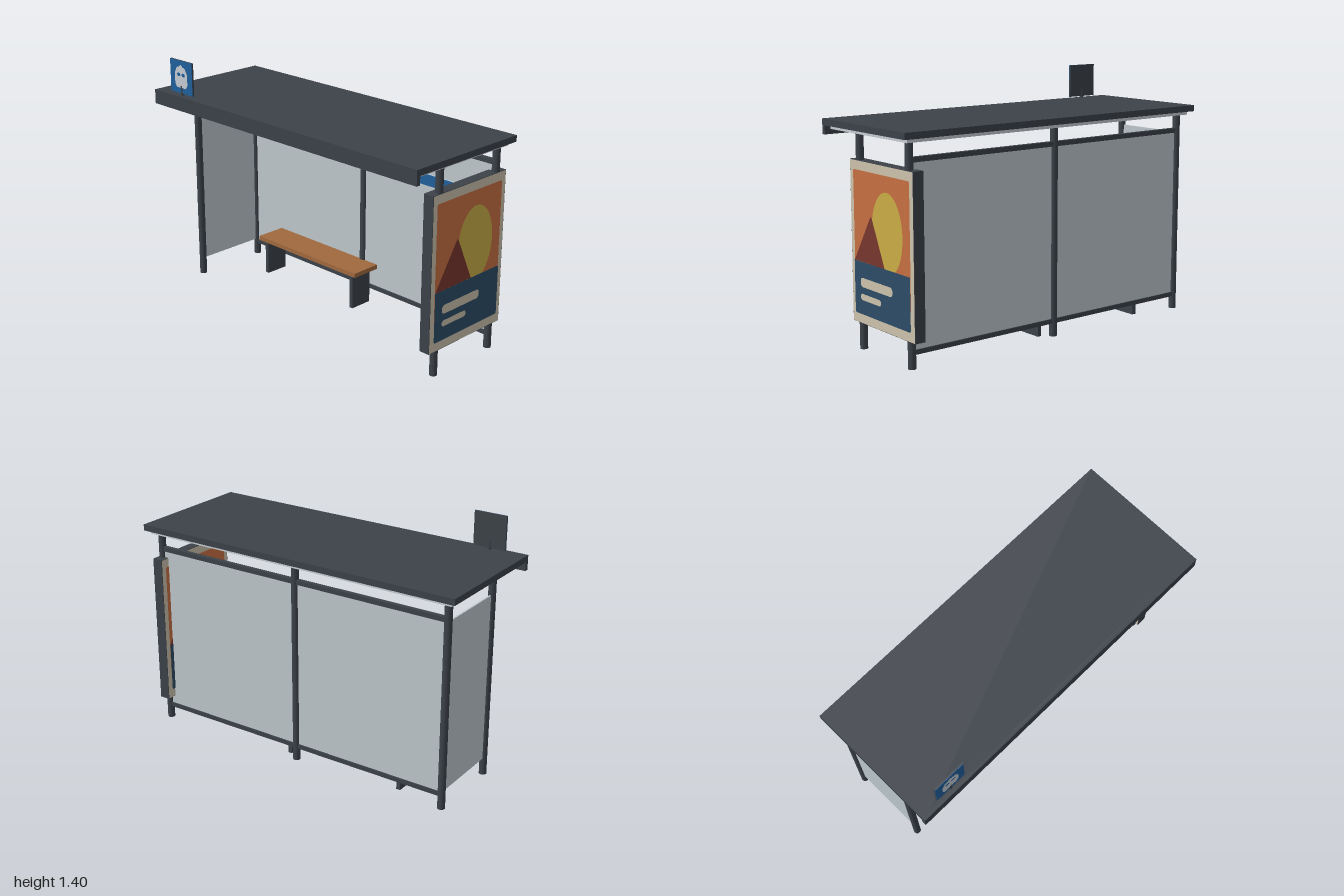
import * as THREE from 'three';

const mat = (name, color) => {
  const m = new THREE.MeshStandardMaterial({ color });
  m.name = name;
  return m;
};

export function createModel() {
  const root = new THREE.Group();
  root.name = 'busShelter';

  const frame = mat('charcoal metal', 0x3c4249);
  const glass = mat('pale glass', 0xbdc7cc);
  const soffitMat = mat('soffit grey', 0xc6ccd3);
  const wood = mat('bench wood', 0xa0693e);
  const blue = mat('sign blue', 0x205f9c);
  const cream = mat('poster cream', 0xcdc3ad);
  const orange = mat('poster orange', 0xc77142);
  const yellow = mat('poster yellow', 0xcaad46);
  const maroon = mat('poster maroon', 0x78362d);
  const navy = mat('poster navy', 0x2c4c67);

  const add = (parent, name, geometry, material) => {
    const mesh = new THREE.Mesh(geometry, material);
    mesh.name = name;
    parent.add(mesh);
    return mesh;
  };
  // Box given by its lower and upper limits on each axis
  const box = (parent, name, material, [x0, x1], [y0, y1], [z0, z1]) => {
    const m = add(parent, name, new THREE.BoxGeometry(x1 - x0, y1 - y0, z1 - z0), material);
    m.position.set((x0 + x1) / 2, (y0 + y1) / 2, (z0 + z1) / 2);
    return m;
  };
  const rounded = (x0, x1, y0, y1, r) => {
    const s = new THREE.Shape();
    s.absarc(x1 - r, y1 - r, r, 0, Math.PI / 2);
    s.absarc(x0 + r, y1 - r, r, Math.PI / 2, Math.PI);
    s.absarc(x0 + r, y0 + r, r, Math.PI, Math.PI * 1.5);
    s.absarc(x1 - r, y0 + r, r, Math.PI * 1.5, Math.PI * 2);
    s.closePath();
    return s;
  };

  const backZ = -0.315, frontZ = 0.135, postX = 0.93;

  // Roof slab, front fascia and soffit
  const roof = new THREE.Group();
  roof.name = 'roof';
  root.add(roof);
  box(roof, 'roofSlab', frame, [-1, 1], [1.17, 1.205], [-0.385, 0.385]);
  box(roof, 'frontFascia', frame, [-1, 1], [1.122, 1.205], [0.363, 0.387]);
  box(roof, 'soffit', soffitMat, [-0.97, 0.97], [1.15, 1.17], [-0.36, 0.355]);

  // Posts
  const postGeo = new THREE.CylinderGeometry(0.021, 0.021, 1.16, 20);
  for (const [x, z] of [[-postX, frontZ], [postX, frontZ], [-postX, backZ], [0, backZ], [postX, backZ]])
    add(root, 'post', postGeo, frame).position.set(x, 0.58, z);

  // Back wall: rails and glass, one bay each side of the middle post
  for (const s of [-1, 1]) {
    const span = s < 0 ? [-postX, 0] : [0, postX];
    box(root, 'topRail', frame, span, [1.047, 1.073], [backZ - 0.013, backZ + 0.013]);
    box(root, 'bottomRail', frame, span, [0.073, 0.098], [backZ - 0.013, backZ + 0.013]);
    const pane = s < 0 ? [-0.912, -0.018] : [0.018, 0.912];
    box(root, 'backGlass', glass, pane, [0.098, 1.047], [backZ - 0.005, backZ + 0.005]);
  }
  box(root, 'sideGlass', glass, [-0.935, -0.925], [0.098, 1.05], [backZ + 0.018, frontZ - 0.018]);

  // Timetable board on the back glass
  box(root, 'timetableBoard', glass, [0.357, 0.687], [0.455, 0.885], [backZ + 0.005, backZ + 0.017]);
  box(root, 'timetableHeader', blue, [0.357, 0.687], [0.823, 0.885], [backZ + 0.015, backZ + 0.021]);

  // Bench
  const bench = new THREE.Group();
  bench.name = 'bench';
  root.add(bench);
  box(bench, 'seat', wood, [-0.69, 0.12], [0.211, 0.237], [-0.305, -0.118]);
  for (const x of [-0.647, 0.07])
    box(bench, 'benchLeg', frame, [x - 0.012, x + 0.012], [0, 0.211], [-0.283, -0.14]);

  // Advertising case, with the same poster on both faces
  const caseZ = -0.088, caseX = 0.919;
  box(root, 'posterCase', frame, [0.888, 0.95], [0.145, 1.01], [-0.376, 0.2]);
  const mountain = new THREE.Shape([
    [-0.256, 0.48], [0.027, 0.48], [-0.083, 0.72], [-0.092, 0.732], [-0.103, 0.72],
  ].map(p => new THREE.Vector2(...p)));
  const sun = new THREE.Shape();
  sun.absellipse(0.053, 0.664, 0.14, 0.212, 0, Math.PI * 2);
  const layers = [
    ['posterBacking', cream, rounded(-0.286, 0.286, 0.147, 1.008, 0.002)],
    ['posterSky', orange, rounded(-0.257, 0.257, 0.3, 0.96, 0.01)],
    ['posterSun', yellow, sun],
    ['posterMountain', maroon, mountain],
    ['posterLowerPanel', navy, new THREE.Shape([
      [-0.257, 0.205], [-0.25, 0.197], [0.25, 0.197], [0.257, 0.205], [0.257, 0.48], [-0.257, 0.48],
    ].map(p => new THREE.Vector2(...p)))],
    ['posterLongBar', cream, rounded(-0.2, 0.098, 0.345, 0.395, 0.02)],
    ['posterShortBar', cream, rounded(-0.2, -0.008, 0.275, 0.309, 0.016)],
  ];
  for (const s of [1, -1]) {
    const poster = new THREE.Group();
    poster.name = s > 0 ? 'outerPoster' : 'innerPoster';
    poster.position.set(caseX, 0, caseZ);
    poster.rotation.y = s * Math.PI / 2;
    layers.forEach(([name, material, shape], i) => {
      add(poster, name, new THREE.ShapeGeometry(shape, 24), material).position.z = 0.032 + i * 0.001;
    });
    root.add(poster);
  }

  // Stop sign on the roof: dark plate, blue face, pale vehicle pictogram
  const sign = new THREE.Group();
  sign.name = 'stopSign';
  sign.position.set(-0.79, 1.31, 0.352);
  root.add(sign);
  box(sign, 'signPlate', frame, [-0.095, 0.095], [-0.095, 0.095], [-0.006, 0.004]);
  box(sign, 'signFace', blue, [-0.095, 0.095], [-0.095, 0.095], [0.004, 0.006]);
  const picto = new THREE.Shape([
    [-0.04, -0.062], [0.04, -0.062], [0.054, -0.04], [0.054, 0.02], [0.035, 0.055], [0.015, 0.06],
    [0, 0.074], [-0.015, 0.06], [-0.035, 0.055], [-0.054, 0.02], [-0.054, -0.04],
  ].map(p => new THREE.Vector2(...p)));
  picto.holes.push(rounded(-0.034, -0.006, 0.004, 0.024, 0.008), rounded(0.006, 0.034, 0.004, 0.024, 0.008));
  add(sign, 'signPictogram', new THREE.ShapeGeometry(picto), soffitMat).position.z = 0.0075;
  const stem = add(sign, 'signStem', new THREE.CylinderGeometry(0.01, 0.01, 0.06, 12), frame);
  stem.position.set(0, -0.08, 0);

  return root;
}
